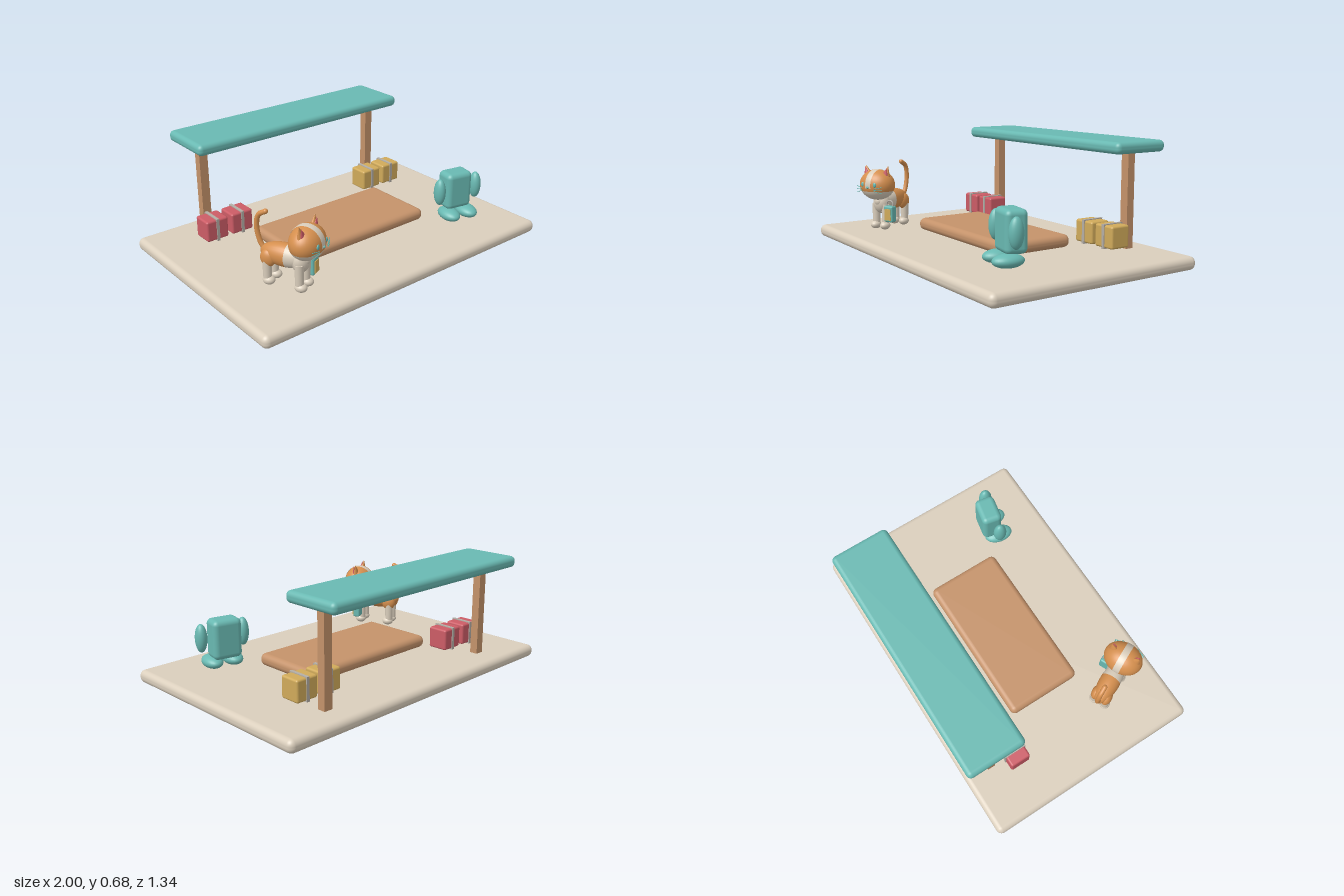
import * as THREE from 'three';
import { RoundedBoxGeometry } from 'three/addons/geometries/RoundedBoxGeometry.js';

const paint = (name, color) => {
  const m = new THREE.MeshStandardMaterial({ color });
  m.name = name;
  return m;
};

export function createModel() {
  const cream = paint('cream', 0xdacebc);
  const teal = paint('teal', 0x69b9b2);
  const wood = paint('wood brown', 0xc4926a);
  const orange = paint('orange fur', 0xd58f4e);
  const red = paint('soft red', 0xcc5c66);
  const gold = paint('gold', 0xd0aa5a);
  const grey = paint('strap grey', 0xb4aea6);

  const add = (parent, name, geometry, material, x = 0, y = 0, z = 0) => {
    const mesh = new THREE.Mesh(geometry, material);
    mesh.name = name;
    mesh.position.set(x, y, z);
    parent.add(mesh);
    return mesh;
  };
  const group = (parent, name, x = 0, y = 0, z = 0, turn = 0) => {
    const g = new THREE.Group();
    g.name = name;
    g.position.set(x, y, z);
    g.rotation.y = turn;
    parent.add(g);
    return g;
  };
  const round = (w, h, d, r) => new RoundedBoxGeometry(w, h, d, 4, r);
  const ball = (rx, ry, rz) => new THREE.SphereGeometry(1, 28, 18).scale(rx, ry, rz);

  const model = new THREE.Group();
  model.name = 'platformScene';

  // Platform, low table and shelter
  add(model, 'platform', round(2, 0.076, 1.333, 0.034), cream, 0, 0.038, 0.005);
  add(model, 'lowTable', round(0.936, 0.074, 0.458, 0.034), wood, 0, 0.119, 0.005);
  add(model, 'roof', round(1.464, 0.066, 0.354, 0.028), teal, 0, 0.65, -0.495);
  for (const x of [-0.627, 0.625])
    add(model, 'roofPost', new THREE.BoxGeometry(0.053, 0.56, 0.048), wood, x, 0.345, -0.493);

  // Strapped parcels
  for (const [x, material] of [[-0.668, red], [-0.502, red], [0.502, gold], [0.666, gold]]) {
    const parcel = group(model, 'parcel', x, 0.171, -0.346);
    add(parcel, 'parcelBox', round(0.14, 0.126, 0.124, 0.012), material);
    add(parcel, 'parcelStrap', new THREE.BoxGeometry(0.018, 0.136, 0.134), grey);
  }

  // Stubby figure with side pods and large feet
  const figure = group(model, 'stubbyFigure', 0.645, 0, 0.315, -0.2);
  add(figure, 'figureBody', round(0.172, 0.228, 0.124, 0.03), teal, 0, 0.273, 0);
  for (const s of [-1, 1]) {
    add(figure, 'figureArm', ball(0.034, 0.083, 0.04), teal, s * 0.128, 0.281, 0.028);
    add(figure, 'figureFoot', ball(0.056, 0.037, 0.088), teal, s * 0.062, 0.13, 0.042);
  }

  // Cat
  const cat = group(model, 'cat', -0.635, 0, 0.335, 0.436);
  const bodyPart = (start, length) => new THREE.SphereGeometry(1, 28, 16, 0, Math.PI * 2, start, length)
    .rotateX(Math.PI / 2).scale(0.06, 0.066, 0.145);
  add(cat, 'catShoulders', bodyPart(0, 1.45), cream, 0, 0.262, 0);
  add(cat, 'catHindBody', bodyPart(1.45, Math.PI - 1.45), orange, 0, 0.262, 0);
  add(cat, 'catChest', ball(0.055, 0.066, 0.05), cream, 0, 0.25, 0.09);
  for (const s of [-1, 1]) {
    add(cat, 'catHaunch', ball(0.03, 0.05, 0.045), orange, s * 0.033, 0.24, -0.085);
    for (const z of [-0.09, 0.1]) {
      add(cat, 'catLeg', new THREE.CylinderGeometry(0.026, 0.023, 0.14, 18), cream, s * 0.036, 0.175, z);
      add(cat, 'catPaw', ball(0.03, 0.025, 0.035), cream, s * 0.036, 0.112, z + 0.008);
    }
  }

  // Tail
  const tailPath = new THREE.CatmullRomCurve3([
    [0, 0.25, -0.11], [0, 0.31, -0.15], [0, 0.4, -0.167], [0, 0.46, -0.152], [0, 0.487, -0.11],
  ].map((p) => new THREE.Vector3(...p)));
  add(cat, 'catTail', new THREE.TubeGeometry(tailPath, 30, 0.014, 12), orange);
  add(cat, 'catTailTip', ball(0.014, 0.014, 0.014), orange, 0, 0.487, -0.11);

  // Head: orange cap, cream jaw and a cream stripe over the crown
  const head = group(cat, 'catHead', 0, 0.368, 0.131);
  const split = 1.95;
  const headPart = (start, length) => new THREE.SphereGeometry(1, 36, 20, 0, Math.PI * 2, start, length)
    .scale(0.116, 0.094, 0.093);
  add(head, 'headCap', headPart(0, split), orange);
  add(head, 'jaw', headPart(split, Math.PI - split), cream);
  const stripe = new THREE.SphereGeometry(1, 40, 6, -0.15, Math.PI + 0.3, Math.PI / 2 - 0.17, 0.34)
    .rotateZ(Math.PI / 2).rotateX(Math.PI / 2);
  // Turn the half band so that its middle lies over the crown
  stripe.computeBoundingBox();
  const middle = stripe.boundingBox.getCenter(new THREE.Vector3());
  stripe.rotateX(Math.atan2(middle.z, middle.y) * -1).scale(0.118, 0.0955, 0.0945);
  add(head, 'crownStripe', stripe, cream).material.side = THREE.DoubleSide;
  add(head, 'nose', ball(0.009, 0.007, 0.007), teal, 0, -0.008, 0.095);

  for (const s of [-1, 1]) {
    const ear = group(head, 'ear', s * 0.076, 0.083, 0);
    ear.rotation.z = -s * 0.3;
    add(ear, 'earShell', new THREE.ConeGeometry(0.035, 0.075, 20).scale(1, 1, 0.6), orange);
    add(ear, 'earInner', new THREE.ConeGeometry(0.025, 0.058, 16).scale(1, 1, 0.5), red, 0, -0.003, 0.012);
    add(head, 'eye', ball(0.012, 0.015, 0.006), teal, s * 0.045, 0.008, 0.084);
    for (const k of [-1, 0, 1]) {
      const whisker = add(head, 'whisker', new THREE.CylinderGeometry(0.002, 0.002, 0.055, 6)
        .rotateZ(Math.PI / 2), teal, s * 0.07, -0.022 + k * 0.013, 0.085);
      whisker.rotation.set(0, s * 0.3, s * k * 0.2);
    }
  }

  // Small carried bag with a gold panel
  const bag = group(cat, 'bag', 0.082, 0.19, 0.115);
  add(bag, 'bagBody', round(0.065, 0.1, 0.045, 0.01), teal);
  add(bag, 'bagPanel', new THREE.BoxGeometry(0.044, 0.07, 0.006), gold, 0, -0.003, 0.024);
  add(bag, 'bagHandle', new THREE.TorusGeometry(0.024, 0.005, 10, 24), grey, 0, 0.058, 0);

  return model;
}
